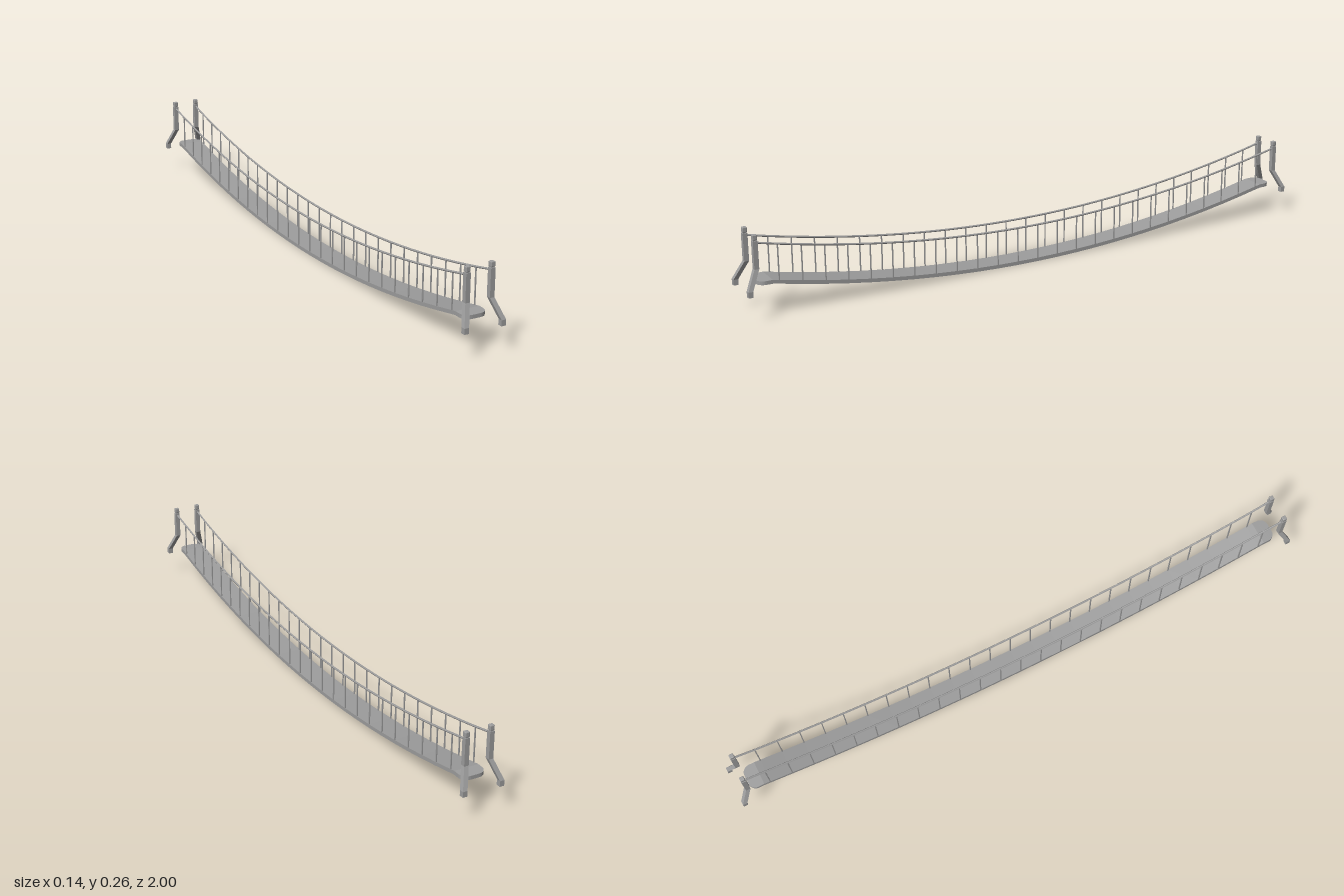
import * as THREE from 'three';
import { RoundedBoxGeometry } from 'three/addons/geometries/RoundedBoxGeometry.js';

const grey = new THREE.MeshStandardMaterial({ color: 0x9e9e9e, flatShading: true });
const STEP = 0.0743, HALF = 12, DECK_W = 0.04, DECK_T = 0.012, END = 0.957, CORNER = 0.026;

// Sagging curves for the underside of the deck and for the hand ropes
const deckY = z => 0.102 * Math.min(1, Math.abs(z) / 0.91) ** 2;
const ropeY = z => 0.126 + 0.113 * (z / 0.96) ** 2;

function add(parent, name, geometry, x = 0, y = 0, z = 0) {
  const mesh = new THREE.Mesh(geometry, grey);
  mesh.name = name;
  mesh.position.set(x, y, z);
  parent.add(mesh);
  return mesh;
}

// Piece of deck following the sag through the given z stations, narrowing at the rounded bridge ends
function deckGeometry(stations) {
  const n = stations.length - 1;
  const g = new THREE.BoxGeometry(2, DECK_T, n, 1, 1, n);
  const p = g.attributes.position;
  for (let i = 0; i < p.count; i++) {
    const z = stations[Math.round(p.getZ(i) + n / 2)];
    const d = Math.max(0, Math.abs(z) - (END - CORNER));
    const w = DECK_W - CORNER + Math.sqrt(Math.max(0, CORNER ** 2 - d ** 2));
    p.setXYZ(i, p.getX(i) * w, p.getY(i) + DECK_T / 2 + deckY(z), z);
  }
  g.computeVertexNormals();
  return g;
}

// Anchor post: a square post whose foot bends outwards, as rows of [x, y, z]
function anchorGeometry(sx, sz) {
  const rows = [[0.061, 0.082, 0.9925], [0.061, 0.1, 0.9925], [0.0405, 0.159, 0.9625], [0.0405, 0.246, 0.9625]];
  const g = new THREE.BoxGeometry(0.015, 3, 0.015, 1, 3, 1);
  const p = g.attributes.position;
  for (let i = 0; i < p.count; i++) {
    const [x, y, z] = rows[Math.round(p.getY(i) + 1.5)];
    p.setXYZ(i, p.getX(i) + sx * x, y, p.getZ(i) + sz * z);
  }
  g.computeVertexNormals();
  return g;
}

export function createModel() {
  const bridge = new THREE.Group();
  bridge.name = 'ropeBridge';

  // Deck planks between the hangers, and a rounded landing at each end
  const deck = new THREE.Group();
  deck.name = 'deck';
  bridge.add(deck);
  for (let i = -HALF; i < HALF; i++) add(deck, 'plank', deckGeometry([i * STEP, (i + 1) * STEP]));
  const landing = [HALF * STEP, 0.912];
  for (let a = 0; a <= 6; a++) landing.push(END - CORNER * (1 - Math.sin(a * Math.PI / 12)));
  add(deck, 'frontLanding', deckGeometry(landing));
  add(deck, 'backLanding', deckGeometry(landing.map(z => -z).reverse()));

  for (const sx of [1, -1]) {
    const side = new THREE.Group();
    side.name = sx > 0 ? 'leftSide' : 'rightSide';
    bridge.add(side);

    // Hand rope between the anchor posts
    const points = [];
    for (let i = -HALF; i <= HALF; i++) points.push(new THREE.Vector3(sx * 0.0395, ropeY(i * STEP), i * STEP));
    points.unshift(new THREE.Vector3(sx * 0.0405, ropeY(0.96), -0.96));
    points.push(new THREE.Vector3(sx * 0.0405, ropeY(0.96), 0.96));
    add(side, 'handRope', new THREE.TubeGeometry(new THREE.CatmullRomCurve3(points), 52, 0.0033, 6));

    // Hangers from the rope down to the deck
    for (let i = -HALF; i <= HALF; i++) {
      const z = i * STEP, low = deckY(z) + 0.005, high = ropeY(z);
      add(side, 'hanger', new THREE.BoxGeometry(0.0035, high - low, 0.0035), sx * 0.0382, (low + high) / 2, z);
    }

    // Anchor posts with a neck and a cap
    for (const sz of [1, -1]) {
      const anchor = new THREE.Group();
      anchor.name = 'anchor';
      side.add(anchor);
      add(anchor, 'anchorPost', anchorGeometry(sx, sz));
      add(anchor, 'anchorNeck', new THREE.BoxGeometry(0.011, 0.008, 0.011), sx * 0.0405, 0.248, sz * 0.9625);
      add(anchor, 'anchorCap', new RoundedBoxGeometry(0.0145, 0.016, 0.0145, 1, 0.002), sx * 0.0405, 0.2565, sz * 0.9625);
    }
  }
  return bridge;
}
